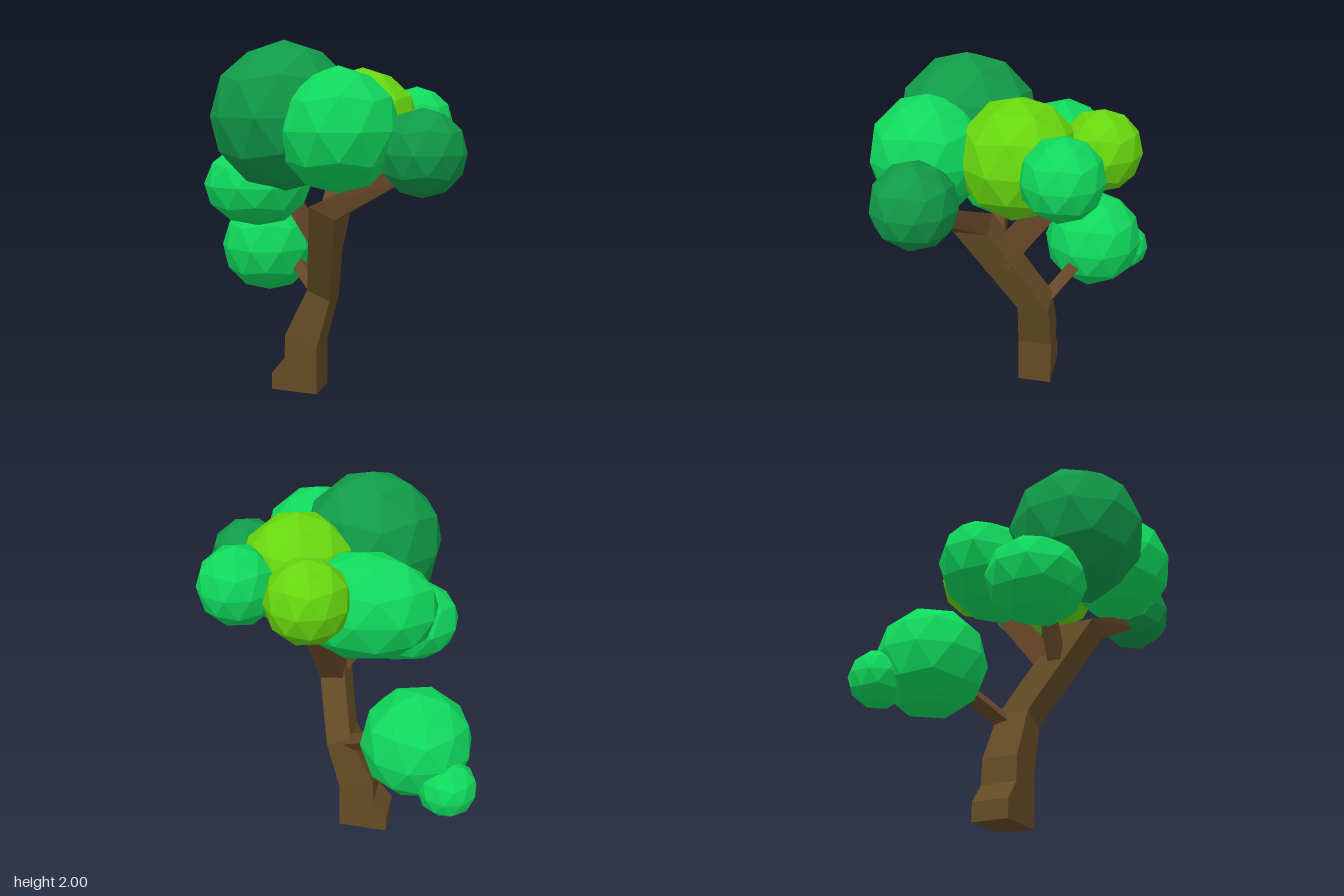
import * as THREE from 'three';

const mat = (name, color) => {
  const m = new THREE.MeshStandardMaterial({ color });
  m.name = name;
  return m;
};

// Lofts four-cornered rings into a faceted, closed solid
function loft(rings) {
  const pos = [];
  const quad = (a, b, c, d) => [a, b, c, a, c, d].forEach((p) => pos.push(...p));
  for (let r = 0; r < rings.length - 1; r++) {
    for (let i = 0; i < 4; i++) {
      const j = (i + 1) % 4;
      quad(rings[r][i], rings[r][j], rings[r + 1][j], rings[r + 1][i]);
    }
  }
  quad(...[...rings[0]].reverse());
  quad(...rings[rings.length - 1]);
  const g = new THREE.BufferGeometry();
  g.setAttribute('position', new THREE.Float32BufferAttribute(pos, 3));
  g.computeVertexNormals();
  return g;
}

// Ring from its left and right edges and its front and back depth
const ring = ([xl, yl, xr, yr, zf, zb]) =>
  [[xl, yl, zf], [xr, yr, zf], [xr, yr, zb], [xl, yl, zb]];

// Square beam running between two points
function beam(from, to, w0, w1) {
  const a = new THREE.Vector3(...from), b = new THREE.Vector3(...to);
  const dir = b.clone().sub(a), len = dir.length();
  const g = new THREE.CylinderGeometry(w1 * Math.SQRT1_2, w0 * Math.SQRT1_2, len, 4).toNonIndexed();
  g.rotateY(Math.PI / 4);
  g.applyQuaternion(new THREE.Quaternion().setFromUnitVectors(new THREE.Vector3(0, 1, 0), dir.normalize()));
  g.translate(...a.add(b).multiplyScalar(0.5).toArray());
  g.computeVertexNormals();
  return g;
}

// Faceted ball with one corner pointing straight up
function blob(c, r) {
  const g = new THREE.IcosahedronGeometry(1, 1);
  g.rotateZ(Math.atan(2 / (1 + Math.sqrt(5))));
  g.scale(...r);
  g.translate(...c);
  g.computeVertexNormals();
  return g;
}

export function createModel() {
  const tree = new THREE.Group();
  tree.name = 'tree';
  const bark = mat('trunkBrown', 0x644b25);
  const wood = mat('branchBrown', 0x664728);
  const green = mat('brightGreen', 0x10d85c);
  const dark = mat('darkGreen', 0x109a48);
  const lime = mat('limeGreen', 0x66d60e);
  const add = (name, geometry, material) => {
    const m = new THREE.Mesh(geometry, material);
    m.name = name;
    tree.add(m);
  };

  // Bent trunk, with a foot on one side
  const bend = [0.02, 1.15, 0.16, 1.085, 0.31, 0.12];
  add('trunk', loft([
    [-0.33, 0, -0.05, 0, -0.01, -0.21],
    [-0.33, 0.1, -0.05, 0.1, -0.01, -0.21],
    [-0.25, 0.2, -0.05, 0.19, -0.01, -0.21],
    [-0.245, 0.34, -0.05, 0.28, -0.01, -0.21],
    [-0.11, 0.62, 0.025, 0.56, -0.02, -0.2],
    bend,
  ].map(ring)), bark);

  // Branches
  add('frontBranch', loft([bend, [0.52, 1.385, 0.56, 1.32, 0.38, 0.24]].map(ring)), wood);
  add('backBranch', beam([0.04, 0.9, 0.07], [0.05, 1.38, -0.3], 0.14, 0.12), wood);
  add('sideTwig', beam([0.0, 0.93, 0.1], [-0.2, 1.24, 0.12], 0.08, 0.07), wood);
  add('lowTwig', beam([-0.08, 0.56, -0.15], [-0.27, 0.71, -0.3], 0.07, 0.07), wood);

  // Leaf clumps: name, colour, centre, radii
  [
    ['crownLeaves', dark, [-0.12, 1.613, 0.285], [0.387, 0.387, 0.387]],
    ['frontLeaves', green, [0.21, 1.55, 0.405], [0.312, 0.312, 0.312]],
    ['frontTipLeaves', dark, [0.62, 1.443, 0.355], [0.218, 0.218, 0.218]],
    ['limeLeaves', lime, [0.2, 1.555, -0.06], [0.316, 0.316, 0.316]],
    ['backLimeLeaves', lime, [0.05, 1.575, -0.455], [0.215, 0.215, 0.215]],
    ['backTipLeaves', green, [0.445, 1.562, -0.32], [0.21, 0.21, 0.21]],
    ['middleLeaves', green, [-0.18, 1.47, -0.225], [0.38, 0.28, 0.27]],
    ['sideLeaves', green, [-0.34, 1.24, 0.14], [0.3, 0.23, 0.27]],
    ['lowLeaves', green, [-0.495, 0.802, -0.385], [0.293, 0.293, 0.293]],
    ['lowTipLeaves', green, [-0.68, 0.675, -0.565], [0.153, 0.15, 0.153]],
  ].forEach(([name, m, c, r]) => add(name, blob(c, r), m));

  return tree;
}
